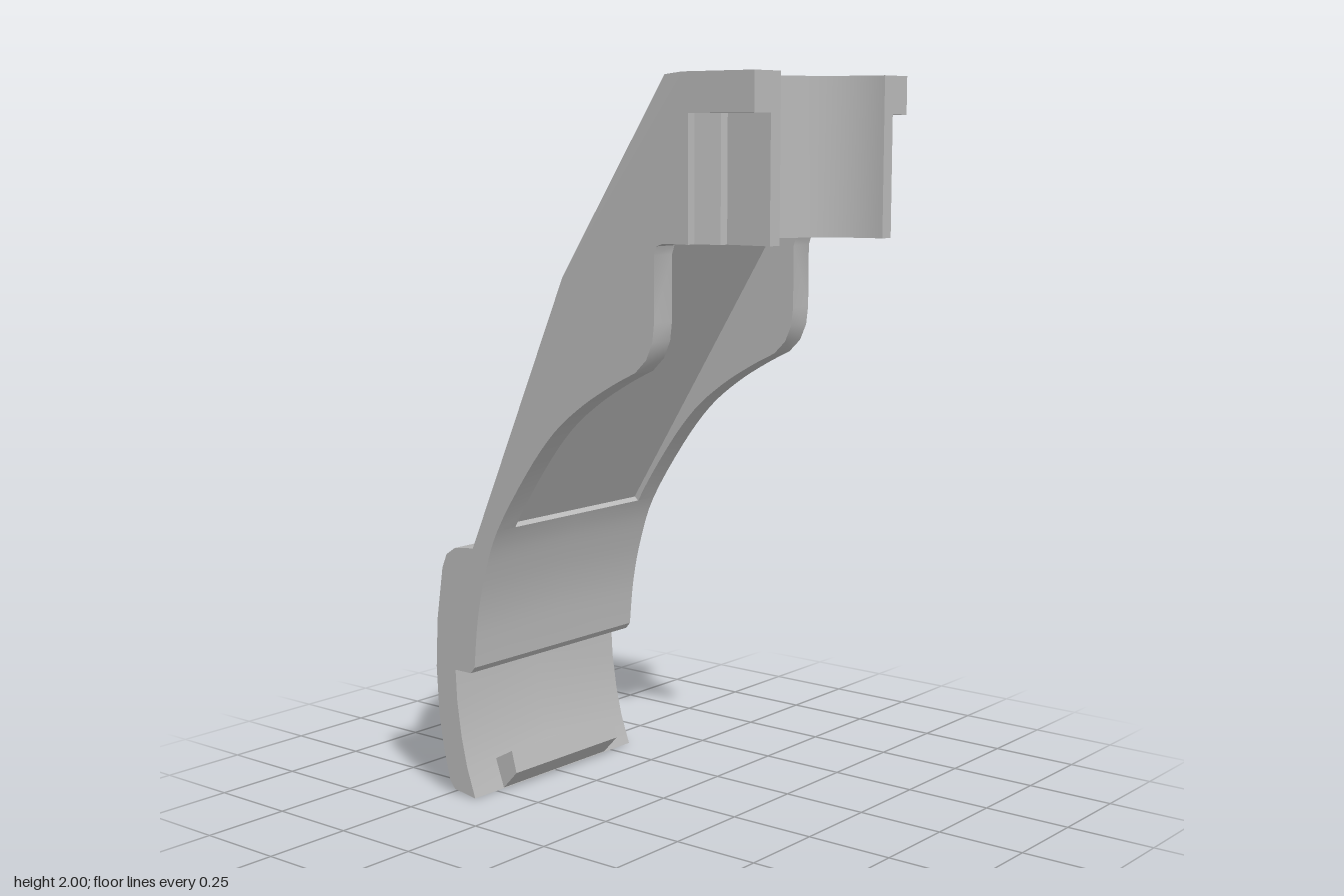
import * as THREE from 'three';
import { toCreasedNormals } from 'three/addons/utils/BufferGeometryUtils.js';

const W = 0.337;  // half width of the lever
const R = 0.265;  // half width of the hollow underside
const LIP = 0.22; // half width of the catch lip
const TOP = 2, SEAT = 1.58, FLANGE = 1.9;

// Adds a planar polygon and its mirror image across z; "out" is a rough outward direction
function face(list, pts, out) {
  const v = pts.map((p) => new THREE.Vector3(...p));
  const hint = new THREE.Vector3(...out);
  const n = new THREE.Vector3();
  v.forEach((a, i) => n.add(new THREE.Vector3().crossVectors(a, v[(i + 1) % v.length])));
  const [ax, ay, az] = [Math.abs(n.x), Math.abs(n.y), Math.abs(n.z)];
  const flat = v.map((p) => {
    if (az >= ax && az >= ay) return new THREE.Vector2(p.x, p.y);
    return ax >= ay ? new THREE.Vector2(p.y, p.z) : new THREE.Vector2(p.x, p.z);
  });
  for (const t of THREE.ShapeUtils.triangulateShape(flat, [])) {
    let [a, b, c] = t.map((i) => v[i]);
    const normal = b.clone().sub(a).cross(c.clone().sub(a));
    if (normal.dot(hint) < 0) [b, c] = [c, b];
    for (const p of [a, b, c]) list.push(p.x, p.y, p.z);
    for (const p of [a, c, b]) list.push(p.x, p.y, -p.z);
  }
}

// Sweeps a side-profile path across z; the outside lies to the left of the path
function sweep(list, path, z0, z1) {
  for (let i = 0; i + 1 < path.length; i++) {
    const [a, b] = [path[i], path[i + 1]];
    face(list, [[...a, z0], [...a, z1], [...b, z1], [...b, z0]], [a[1] - b[1], b[0] - a[0], 0]);
  }
}

function toGeometry(list) {
  const g = new THREE.BufferGeometry();
  g.setAttribute('position', new THREE.Float32BufferAttribute(list, 3));
  g.computeVertexNormals();
  return g;
}

const at = (path, z) => path.map((p) => [p[0], p[1], z]);       // side profile at depth z
const level = (path, y) => path.map((p) => [p[0], y, p[1]]);    // plan outline at height y

export function createModel() {
  const grey = new THREE.MeshStandardMaterial({ color: 0xb8b8b8 });
  grey.name = 'grey';
  const group = new THREE.Group();
  group.name = 'lever';
  const add = (geometry, name) => {
    const mesh = new THREE.Mesh(geometry, grey);
    mesh.name = name;
    group.add(mesh);
  };

  // Side profile: underside from the seat down to the tip, then up the outer shell
  const shoulder = [[0.27, SEAT], [0.25, 1.573], [0.242, 1.55], [0.242, 1.38],
    [0.236, 1.33], [0.216, 1.285]];
  const arch = new THREE.SplineCurve([[0.18, 1.25], [0.1, 1.21], [0, 1.15], [-0.1, 1.07],
    [-0.2, 0.95], [-0.311, 0.78], [-0.36, 0.65], [-0.39, 0.52], [-0.405, 0.38]]
    .map((p) => new THREE.Vector2(...p))).getPoints(32).map((p) => [p.x, p.y]);
  const rim = [...shoulder, ...arch.slice(0, 21)];
  const lower = [...arch.slice(20), [-0.42, 0.362], [-0.48, 0.362], [-0.475, 0.27],
    [-0.46, 0.17], [-0.44, 0.085], [-0.41, 0]];
  const shell = [[-0.41, 0], [-0.49, 0.012], [-0.508, 0.035], [-0.53, 0.12], [-0.547, 0.22],
    [-0.555, 0.36], [-0.548, 0.5], [-0.525, 0.65], [-0.508, 0.69], [-0.475, 0.712], [-0.405, 0.72]];

  // Plan outlines: half round seat and the stepped pocket beside each arm
  const bore = [];
  for (let i = 0; i <= 20; i++) {
    const a = (i / 20) * Math.PI / 2;
    bore.push([0.55 - 0.23 * Math.sin(a), 0.23 * Math.cos(a)]);
  }
  const pocket = [[0.35, W], [0.35, 0.312], [0.415, 0.29], [0.42, 0.27], [0.55, 0.27]];

  const slopeY = (x) => 0.72 + (x + 0.405) * 1.28 / 0.57;
  const onSlope = (x, z) => [x, slopeY(x), z];
  const A = onSlope(-0.065, W), B = [0.33, TOP, W], P = [0.165, TOP, 0.2];

  // Curved surfaces
  const curved = [];
  sweep(curved, rim, R, W);
  sweep(curved, lower, 0, W);
  sweep(curved, shell, 0, W);
  add(toCreasedNormals(toGeometry(curved), 0.5), 'curvedShell');

  const boreWall = [];
  for (let i = 0; i < 20; i++) {
    const pair = [bore[i], bore[i + 1]];
    face(boreWall, [...level(pair, SEAT), ...level(pair, TOP).reverse()],
      [0.55 - pair[1][0], 0, -pair[0][1]]);
  }
  add(toCreasedNormals(toGeometry(boreWall), 0.5), 'halfRoundSeat');

  // Side walls and chamfered upper corners
  const sides = [];
  face(sides, [A, B, [0.55, TOP, W], [0.55, FLANGE, W], [0.35, FLANGE, W], [0.35, SEAT, W],
    ...at(rim, W), ...at(lower.slice(1), W), ...at(shell.slice(1), W)], [0, 0, 1]);
  face(sides, [A, B, P], [-1, 1, 1]);
  add(toGeometry(sides), 'sideWalls');

  // Sloping back with its tapered recess
  const back = [];
  const edge = [[-0.28, 0], [-0.28, 0.265], [-0.1, 0.265], [0.14, 0.1], [0.14, 0]];
  const outline = edge.map(([x, z]) => onSlope(x, z));
  const floor = outline.map(([x, y, z]) => {
    const d = 0.07 * (x + 0.28) / 0.42;
    return [x + 0.91 * d, y - 0.41 * d, z];
  });
  face(back, [onSlope(-0.405, 0), onSlope(-0.405, W), A, P, [0.165, TOP, 0],
    ...[...outline].reverse()], [-1, 0.4, 0]);
  face(back, floor, [-1, 0.4, 0]);
  face(back, [outline[1], outline[2], floor[2]], [0, 0, -1]);
  face(back, [outline[2], outline[3], floor[3], floor[2]], [-0.5, -0.8, -1]);
  face(back, [outline[3], outline[4], floor[4], floor[3]], [-0.4, -0.9, 0]);
  add(toGeometry(back), 'slopingBack');

  // Top flange, arm ends, pockets and underside of the head
  const head = [];
  face(head, [[0.165, TOP, 0], P, B, [0.55, TOP, W], ...level(bore, TOP)], [0, 1, 0]);
  face(head, [[0.17, SEAT, 0], [0.17, SEAT, R], [0.27, SEAT, R], [0.27, SEAT, W],
    ...level(pocket, SEAT), ...level(bore, SEAT)], [0, -1, 0]);
  face(head, [...level(pocket, FLANGE), [0.55, FLANGE, W]], [0, -1, 0]);
  for (let i = 0; i + 1 < pocket.length; i++) {
    const pair = [pocket[i], pocket[i + 1]];
    face(head, [...level(pair, SEAT), ...level(pair, FLANGE).reverse()], [1, 0, 1]);
  }
  face(head, [[0.23, SEAT], [0.27, SEAT], [0.27, FLANGE], [W, FLANGE], [W, TOP], [0.23, TOP]]
    .map(([z, y]) => [0.55, y, z]), [1, 0, 0]);
  add(toGeometry(head), 'head');

  // Hollow underside between the two cheeks
  const hollow = [];
  const foot = [-0.325, 0.79], crown = [0.17, SEAT];
  face(hollow, at([...rim, foot, crown], R), [0, 0, -1]);
  face(hollow, [[...foot, 0], [...foot, R], [...crown, R], [...crown, 0]], [1, -0.6, 0]);
  const end = rim[rim.length - 1];
  face(hollow, [[...foot, 0], [...foot, R], [...end, R], [...end, 0]], [0.5, 1, 0]);
  add(toGeometry(hollow), 'hollowUnderside');

  // Catch lip at the tip
  const lipShape = new THREE.Shape([[-0.41, 0.002], [-0.36, 0.055], [-0.377, 0.117],
    [-0.44, 0.083]].map((p) => new THREE.Vector2(...p)));
  const lip = new THREE.ExtrudeGeometry(lipShape, { depth: 2 * LIP, bevelEnabled: false });
  add(lip.translate(0, 0, -LIP), 'catchLip');

  return group;
}
